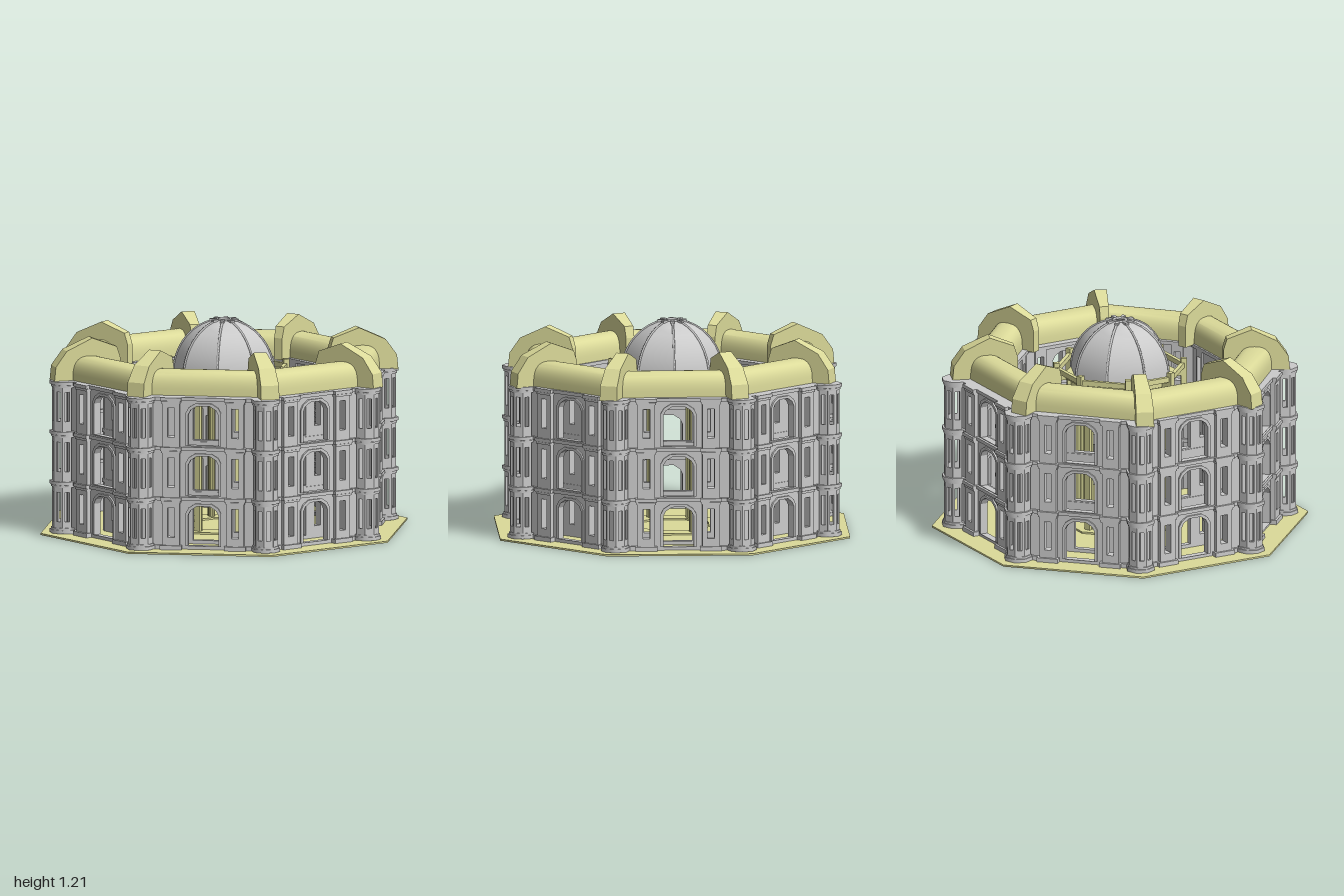
import * as THREE from 'three';
import { toCreasedNormals } from 'three/addons/utils/BufferGeometryUtils.js';

const EIGHTH = Math.PI / 4, HALF = Math.PI / 8, K = 1 / Math.cos(HALF);
const FLOORS = [0.015, 0.305, 0.595], TOP = 0.875;
const stone = new THREE.MeshStandardMaterial({ color: 0xcccccc, side: THREE.DoubleSide });
const olive = new THREE.MeshStandardMaterial({ color: 0xdcdb9a, side: THREE.DoubleSide });

function add(parent, name, geometry, material, x = 0, y = 0, z = 0) {
  const mesh = new THREE.Mesh(geometry, material);
  mesh.name = name;
  mesh.position.set(x, y, z);
  parent.add(mesh);
  return mesh;
}

const box = (w, h, d) => new THREE.BoxGeometry(w, h, d);
const outline = (Type, pts) => new Type(pts.map(p => new THREE.Vector2(...p)));
const rect = (x0, x1, y0, y1) => [[x0, y0], [x1, y0], [x1, y1], [x0, y1]];
// Opening with chamfered top corners
const arch = (h, y0, y1, c) => [[-h, y0], [h, y0], [h, y1 - c], [h - c * 0.3, y1 - c * 0.45], [h - c, y1],
  [c - h, y1], [c * 0.3 - h, y1 - c * 0.45], [-h, y1 - c]];

function panel(border, holes, depth) {
  const shape = outline(THREE.Shape, border);
  holes.forEach(h => shape.holes.push(outline(THREE.Path, h)));
  return new THREE.ExtrudeGeometry(shape, { depth, bevelEnabled: false });
}

// Octagonal ring with a flat side towards +z; profile radii are measured to the flats
function octagonRing(profile) {
  const g = new THREE.LatheGeometry(profile.map(([r, y]) => new THREE.Vector2(r * K, y)), 8);
  g.rotateY(HALF);
  return toCreasedNormals(g, 0.5);
}
const band = (r0, r1, y0, y1) => octagonRing([[r0, y0], [r1, y0], [r1, y1], [r0, y1], [r0, y0]]);

function eightTimes(parent, name, offset, build) {
  for (let i = 0; i < 8; i++) {
    const g = new THREE.Group();
    g.name = name;
    g.rotation.y = i * EIGHTH + offset;
    build(g);
    parent.add(g);
  }
}

// One pierced wall of three storeys, facing +z
function wallGeometry(half, slit) {
  const holes = [];
  for (const y of FLOORS) {
    holes.push(arch(0.087, y + 0.015, y + 0.245, 0.05));
    for (const s of [-slit, slit]) holes.push(rect(s - 0.02, s + 0.02, y + 0.065, y + 0.235));
  }
  return panel(rect(-half, half, 0.01, TOP), holes, 0.035);
}

function createBuilding() {
  const building = new THREE.Group();
  building.name = 'arcadeRing';
  const outer = wallGeometry(0.352, 0.185), inner = wallGeometry(0.262, 0.17);
  const slits = w => FLOORS.map(y => rect(-w, w, y + 0.065, y + 0.235));
  const pilaster = panel(rect(-0.05, 0.05, 0.01, TOP), slits(0.02), 0.025);
  const innerPilaster = panel(rect(-0.035, 0.035, 0.01, TOP), slits(0.02), 0.012);
  const frame = panel(arch(0.102, 0, 0.245, 0.055), [arch(0.087, 0.001, 0.23, 0.05)], 0.012);
  const facet = panel(rect(-0.027, 0.027, 0.01, TOP), slits(0.013), 0.012);

  eightTimes(building, 'wall', 0, g => {
    add(g, 'outerWall', outer, stone, 0, 0, 0.82);
    add(g, 'innerWall', inner, stone, 0, 0, 0.625);
    for (const y of FLOORS) add(g, 'archFrame', frame, stone, 0, y + 0.015, 0.853);
    for (const s of [-1, 1]) {
      add(g, 'pilaster', pilaster, stone, s * 0.185, 0, 0.855);
      add(g, 'innerPilaster', innerPilaster, stone, s * 0.17, 0, 0.614);
      add(g, 'pilasterBase', box(0.125, 0.025, 0.05), stone, s * 0.185, 0.022, 0.868);
      add(g, 'wallBase', box(0.1, 0.025, 0.05), stone, s * 0.295, 0.022, 0.845);
      for (const y of [0.302, 0.592, 0.88]) {
        add(g, 'pilasterCap', box(0.122, 0.02, 0.05), stone, s * 0.185, y, 0.868);
        add(g, 'pilasterNeck', box(0.11, 0.012, 0.04), stone, s * 0.185, y - 0.018, 0.867);
      }
    }
  });
  // String courses and top ledges
  for (const y of [0.302, 0.592, 0.88]) {
    add(building, 'outerCornice', band(0.8, 0.87, y - 0.01, y + 0.01), stone);
    add(building, 'innerCornice', band(0.612, 0.665, y - 0.01, y + 0.01), stone);
  }
  // Corner turrets with a slit in each outer facet
  const cap = new THREE.CylinderGeometry(0.077 * K, 0.077 * K, 0.02, 8).rotateY(HALF);
  const neck = new THREE.CylinderGeometry(0.071 * K, 0.071 * K, 0.012, 8).rotateY(HALF);
  eightTimes(building, 'cornerTurret', HALF, g => {
    const turret = new THREE.Group();
    turret.name = 'turret';
    turret.position.z = 0.943;
    g.add(turret);
    for (let k = -2; k <= 2; k++) {
      const a = k * EIGHTH;
      add(turret, 'turretFacet', facet, stone, Math.sin(a) * 0.054, 0, Math.cos(a) * 0.054).rotation.y = a;
    }
    for (const y of [0.022, 0.302, 0.592, 0.88]) {
      add(turret, 'turretCap', cap, stone, 0, y, 0);
      add(turret, 'turretNeck', neck, stone, 0, y + (y < 0.1 ? 0.016 : -0.018), 0);
    }
  });
  return building;
}

function createRoof() {
  const roof = new THREE.Group();
  roof.name = 'roof';
  roof.scale.x = 1.06;
  // Rounded vault over the ring
  const profile = [];
  for (let i = 0; i <= 20; i++) {
    const a = Math.PI * (1 - i / 20), c = Math.cos(a);
    profile.push([0.715 + 0.093 * Math.sign(c) * Math.abs(c) ** 0.75,
      0.885 + 0.143 * Math.max(0, Math.sin(a)) ** 0.65]);
  }
  add(roof, 'roofVault', octagonRing(profile.reverse()), olive);

  // Tapered corner ribs: wider towards the outside
  const rib = panel([[0.585, 0.885], [0.96, 0.885], [0.952, 0.97], [0.89, 1.06], [0.745, 1.13],
    [0.605, 1.075], [0.585, 1.01]], [], 1).translate(0, 0, -0.5);
  const p = rib.attributes.position;
  for (let i = 0; i < p.count; i++) p.setZ(i, p.getZ(i) * (0.05 + (p.getX(i) - 0.585) * 0.14));
  rib.computeVertexNormals();
  rib.rotateY(-Math.PI / 2);
  eightTimes(roof, 'cornerRib', HALF, g => add(g, 'roofRib', rib, olive));
  return roof;
}

function createPavilion() {
  const pavilion = new THREE.Group();
  pavilion.name = 'pavilion';
  add(pavilion, 'plinth', band(0.21, 0.325, 0, 0.02), olive);
  const arcade = panel(rect(-0.112, 0.112, 0.01, 0.89), [arch(0.09, 0.02, 0.825, 0.03)], 0.03);
  eightTimes(pavilion, 'arcadeSide', 0, g => {
    add(g, 'arcadeWall', arcade, olive, 0, 0, 0.24);
    add(g, 'ringBeam', box(0.278, 0.03, 0.022), olive, 0, 0.92, 0.335);
  });
  eightTimes(pavilion, 'buttress', HALF, g => {
    add(g, 'pier', box(0.035, 0.88, 0.035), olive, 0, 0.45, 0.288);
    add(g, 'strut', box(0.028, 0.035, 0.11), olive, 0, 0.875, 0.325);
    add(g, 'post', box(0.032, 0.16, 0.032), olive, 0, 0.88, 0.366);
  });
  add(pavilion, 'drumCornice', band(0.23, 0.295, 0.865, 0.895), olive);

  // Faceted dome with an open eye
  const curve = [];
  for (let i = 0; i <= 8; i++) {
    const a = i / 8 * 1.47;
    curve.push(new THREE.Vector3(0, 0.89 + 0.315 * Math.sin(a), 0.29 * Math.cos(a)));
  }
  const shell = new THREE.LatheGeometry(curve.map(v => new THREE.Vector2(v.z, v.y)), 8);
  add(pavilion, 'dome', toCreasedNormals(shell, 0.45), stone);
  const ribTube = new THREE.TubeGeometry(new THREE.CatmullRomCurve3(curve), 16, 0.007, 5);
  eightTimes(pavilion, 'domeMeridian', 0, g => {
    add(g, 'domeRib', ribTube, stone);
    add(g, 'crownBlock', box(0.022, 0.014, 0.035), stone, 0, 1.2, 0.065);
  });
  add(pavilion, 'eyeRing', new THREE.TorusGeometry(0.036, 0.008, 6, 16).rotateX(Math.PI / 2), stone, 0, 1.203, 0);
  return pavilion;
}

export function createModel() {
  const model = new THREE.Group();
  model.name = 'octagonalArena';
  add(model, 'groundSlab', new THREE.CylinderGeometry(K, K, 0.01, 8).rotateY(HALF), olive, 0, 0.005, 0);
  model.add(createBuilding(), createRoof(), createPavilion());
  return model;
}
